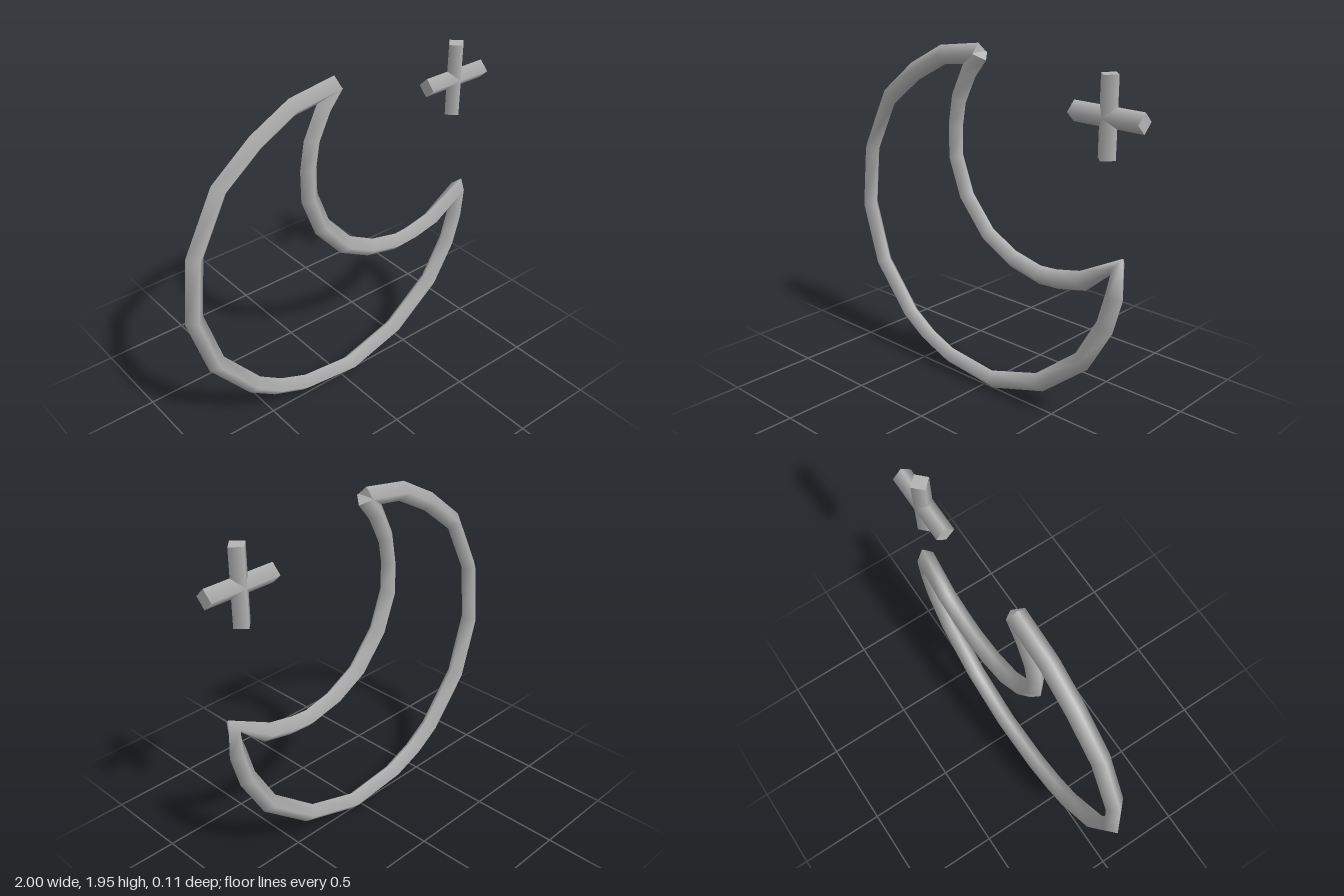
import * as THREE from 'three';

const R = 0.053; // half width of every diamond-section bar

// Diamond-section bar swept along a path in the XY plane, with capped ends
function diamondBar(path) {
  const pos = [], nor = [], idx = [];
  const pts = path.map(([x, y]) => new THREE.Vector2(x, y));
  const last = pts.length - 1;
  const rings = pts.map((p, i) => {
    const t = new THREE.Vector2();
    if (i > 0) t.add(p.clone().sub(pts[i - 1]).normalize());
    if (i < last) t.add(pts[i + 1].clone().sub(p).normalize());
    t.normalize();
    const dirs = [[t.y, -t.x, 0], [0, 0, 1], [-t.y, t.x, 0], [0, 0, -1]];
    return { t, dirs, corners: dirs.map((d) => [p.x + d[0] * R, p.y + d[1] * R, d[2] * R]) };
  });
  // Sides, smooth across the corners
  rings.forEach(({ dirs, corners }, i) => {
    corners.forEach((c, j) => { pos.push(...c); nor.push(...dirs[j]); });
    if (i === last) return;
    for (let j = 0; j < 4; j++) {
      const a = i * 4 + j, b = i * 4 + (j + 1) % 4;
      idx.push(a, b, a + 4, b, b + 4, a + 4);
    }
  });
  // Flat end caps
  [[rings[0], -1], [rings[last], 1]].forEach(([{ t, corners }, s]) => {
    const o = pos.length / 3;
    corners.forEach((c) => { pos.push(...c); nor.push(t.x * s, t.y * s, 0); });
    idx.push(...(s > 0 ? [o, o + 1, o + 2, o, o + 2, o + 3] : [o, o + 2, o + 1, o, o + 3, o + 2]));
  });
  const g = new THREE.BufferGeometry();
  g.setAttribute('position', new THREE.Float32BufferAttribute(pos, 3));
  g.setAttribute('normal', new THREE.Float32BufferAttribute(nor, 3));
  g.setIndex(idx);
  return g;
}

export function createModel() {
  const model = new THREE.Group();
  const grey = new THREE.MeshStandardMaterial({ color: 0xb4b4b4, side: THREE.DoubleSide });
  grey.name = 'plain grey';

  // Crescent outline: outer arc from the upper tip, then the inner arc back
  const outerArc = [
    [-0.035, 1.9], [-0.305, 1.862], [-0.525, 1.745], [-0.745, 1.57], [-0.91, 1.245],
    [-0.947, 0.89], [-0.84, 0.543], [-0.61, 0.265], [-0.46, 0.165], [-0.275, 0.09],
    [0.065, 0.053], [0.41, 0.16], [0.69, 0.385], [0.825, 0.62], [0.875, 0.8],
  ];
  const innerArc = [
    [0.89, 0.97], [0.68, 0.833], [0.52, 0.797], [0.4, 0.788], [0.21, 0.83], [0.03, 0.925],
    [-0.13, 1.11], [-0.21, 1.32], [-0.212, 1.49], [-0.187, 1.64], [-0.11, 1.8], [-0.03, 1.9],
  ];
  const crescent = new THREE.Mesh(diamondBar([...outerArc, ...innerArc]), grey);
  crescent.name = 'crescentOutline';
  model.add(crescent);

  // Small cross-shaped star beside the upper tip
  const star = new THREE.Group();
  star.name = 'star';
  star.position.set(0.795, 1.695, 0);
  const barGeometry = new THREE.CylinderGeometry(R, R, 0.41, 4);
  [['starUpright', 0], ['starCrossbar', Math.PI / 2]].forEach(([name, angle]) => {
    const bar = new THREE.Mesh(barGeometry, grey);
    bar.name = name;
    bar.rotation.z = angle;
    star.add(bar);
  });
  model.add(star);
  return model;
}
